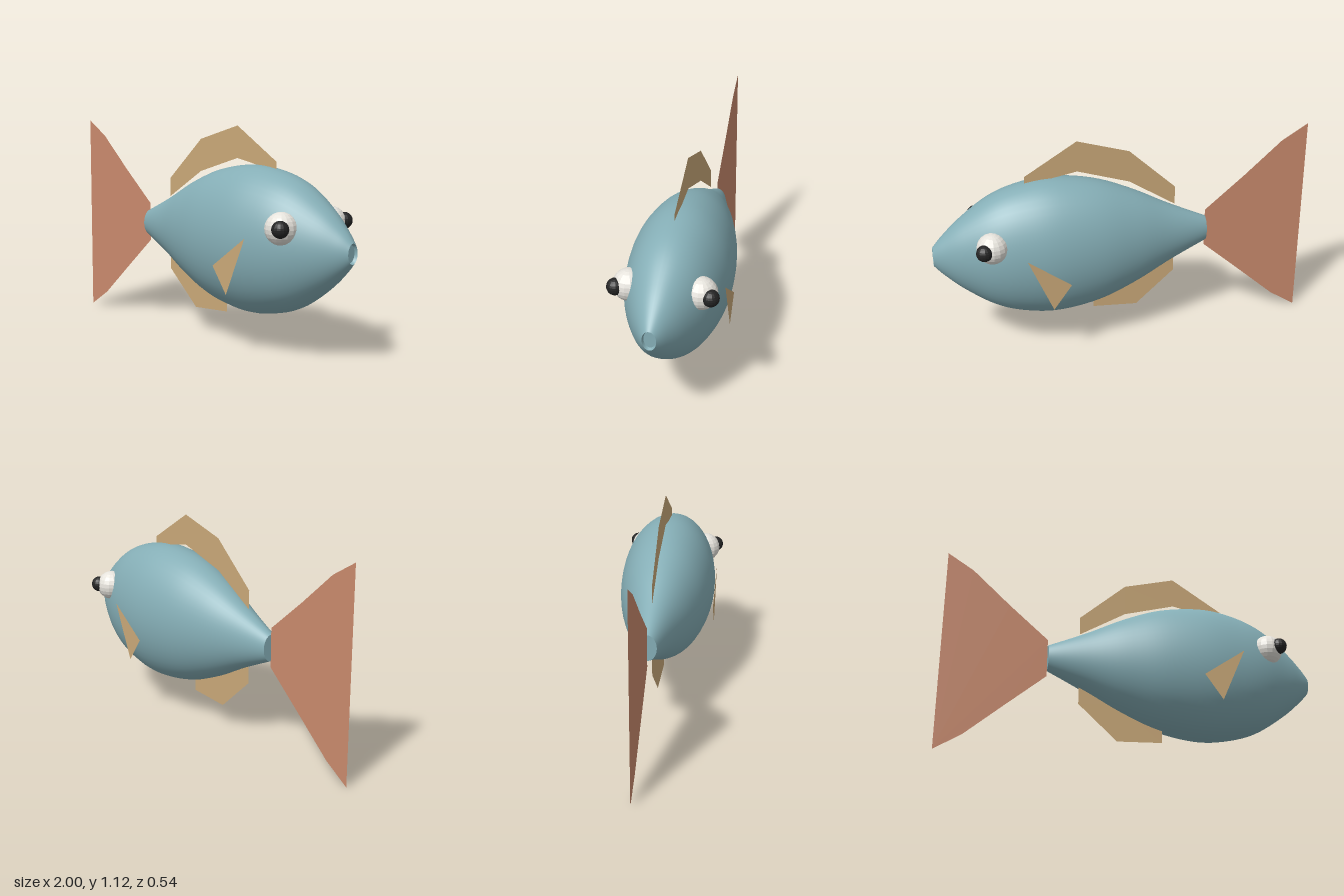
import * as THREE from 'three';

const material = (name, color, extra = {}) => {
  const m = new THREE.MeshStandardMaterial({ color, ...extra });
  m.name = name;
  return m;
};

export function createModel() {
  const fish = new THREE.Group();
  fish.name = 'fish';
  const skin = material('blue skin', 0x85aeb6);
  const tailRed = material('tail terracotta', 0xc98a6d, { side: THREE.DoubleSide });
  const finTan = material('fin tan', 0xc9a878, { side: THREE.DoubleSide });
  const eyeWhite = material('eye white', 0xe6e3dc, { flatShading: true });
  const pupilBlack = material('pupil black', 0x242424, { flatShading: true });

  const add = (name, geometry, mat, x = 0, y = 0, z = 0) => {
    const mesh = new THREE.Mesh(geometry, mat);
    mesh.name = name;
    mesh.position.set(x, y, z);
    fish.add(mesh);
    return mesh;
  };

  // Body parts: profiles of (radius, x) turned about the x axis, flattened in z
  const turned = (points) => new THREE.LatheGeometry(points, 48)
    .rotateZ(-Math.PI / 2)
    .scale(1, 1, 0.685);
  const vectors = (list) => list.map(([a, b]) => new THREE.Vector2(a, b));
  const profile = new THREE.SplineCurve(vectors([
    [0.07, -0.45], [0.162, -0.25], [0.265, -0.05], [0.342, 0.15], [0.375, 0.37],
    [0.354, 0.55], [0.3, 0.7], [0.197, 0.85], [0.106, 0.95], [0.05, 1],
  ]));
  const centreY = 0.555;
  add('body', turned(profile.getPoints(48)), skin, 0, centreY);
  add('tailStump', turned(vectors([[0, -0.45], [0.07, -0.45]])), skin, 0, centreY);
  // Small hollow mouth
  add('mouthRim', turned(vectors([[0.05, 1], [0.043, 0.985]])), skin, 0, centreY);
  add('mouthBack', turned(vectors([[0.043, 0.985], [0, 0.985]])), skin, 0, centreY);

  // Flat fins
  const fin = (name, points, mat, z = 0) =>
    add(name, new THREE.ShapeGeometry(new THREE.Shape(vectors(points))), mat, 0, 0, z);
  fin('tailFin', [
    [-1, 1.105], [-0.861, 1.02], [-0.658, 0.837], [-0.45, 0.66],
    [-0.45, 0.452], [-0.658, 0.27], [-0.861, 0.09], [-1, 0],
  ], tailRed);
  fin('dorsalFin', [
    [-0.28, 0.815], [-0.033, 1.04], [0.24, 1.12], [0.513, 0.952],
    [0.513, 0.905], [0.24, 0.955], [-0.033, 0.87], [-0.28, 0.715],
  ], finTan);
  fin('analFin', [
    [-0.28, 0.41], [-0.28, 0.315], [-0.073, 0.128], [0.167, 0.143],
    [0.167, 0.25], [-0.073, 0.33],
  ], finTan);

  // Paired side fins and eyes
  for (const [side, s] of [['front', 1], ['back', -1]]) {
    fin(side + 'PectoralFin', [[0.547, 0.603], [0.327, 0.443], [0.422, 0.31]], finTan, 0.256 * s);
    add(side + 'Eye', new THREE.SphereGeometry(0.08, 16, 12), eyeWhite, 0.71, 0.66, 0.175 * s);
    add(side + 'Pupil', new THREE.SphereGeometry(0.042, 16, 12), pupilBlack, 0.755, 0.666, 0.23 * s);
  }
  return fish;
}
